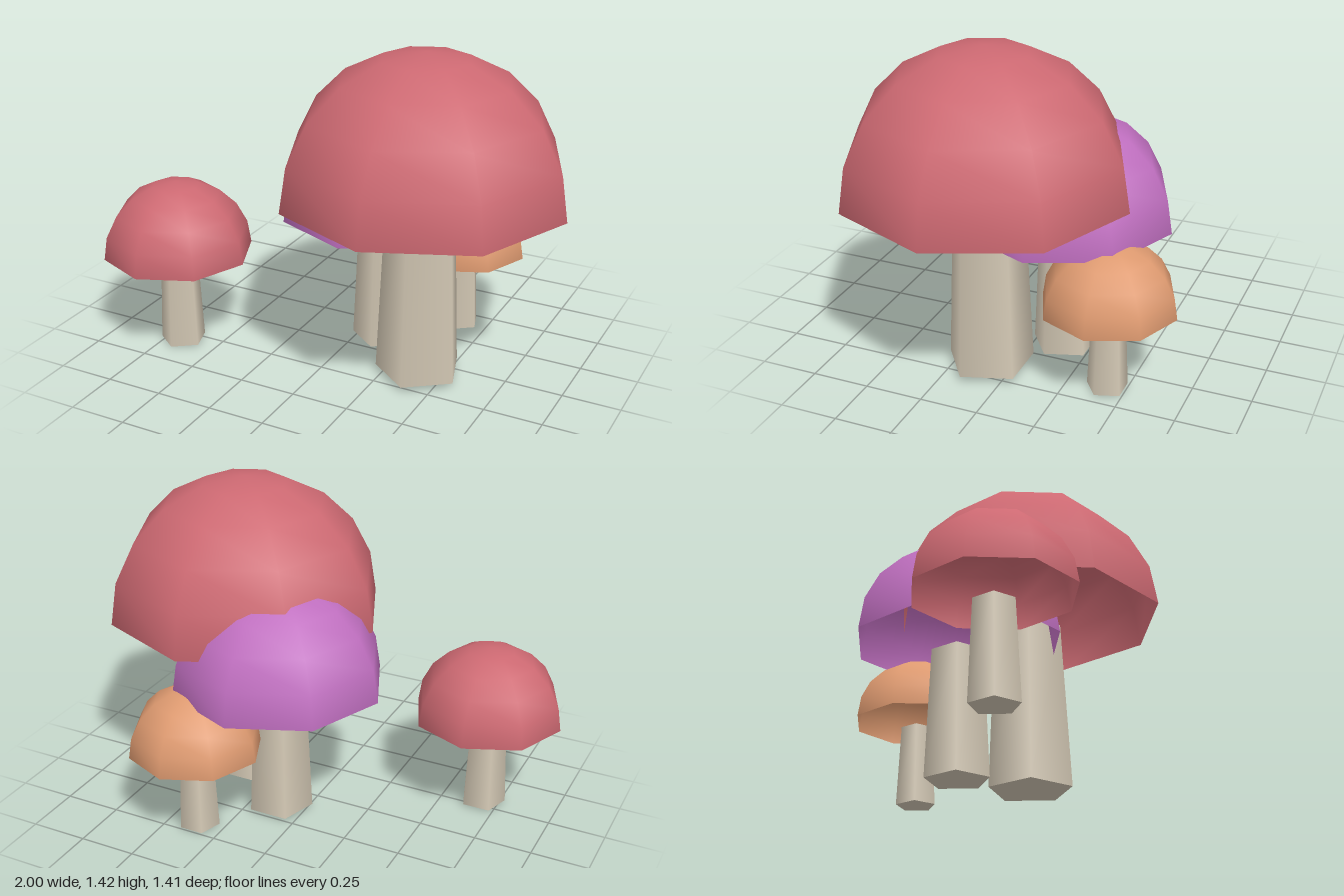
import * as THREE from 'three';

const paint = (name, color, side = THREE.FrontSide) => {
  const m = new THREE.MeshStandardMaterial({ color, side });
  m.name = name;
  return m;
};

export function createModel() {
  const group = new THREE.Group();
  group.name = 'mushroomCluster';

  const red = paint('red cap', 0xcd6972, THREE.DoubleSide);
  const purple = paint('purple cap', 0xc06fc0, THREE.DoubleSide);
  const orange = paint('orange cap', 0xde9a70, THREE.DoubleSide);
  const cream = paint('cream stem', 0xd4c9b5);

  // One mushroom: open eight-sided dome over a tapered five-sided stem
  function addMushroom(name, material, { x, z, capY, capR, stemY, stemTop, topR, bottomR }) {
    const mushroom = new THREE.Group();
    mushroom.name = name;
    mushroom.position.set(x, 0, z);

    const cap = new THREE.Mesh(
      new THREE.SphereGeometry(capR, 8, 5, 0, Math.PI * 2, 0, Math.PI / 2), material);
    cap.name = 'cap';
    cap.position.y = capY;

    const stem = new THREE.Mesh(
      new THREE.CylinderGeometry(topR, bottomR, stemTop - stemY, 5), cream);
    stem.name = 'stem';
    stem.position.y = (stemY + stemTop) / 2;

    mushroom.add(cap, stem);
    group.add(mushroom);
  }

  addMushroom('largeRedMushroom', red, {
    x: 0.395, z: 0.1, capY: 0.818, capR: 0.605,
    stemY: 0.025, stemTop: 0.78, topR: 0.154, bottomR: 0.188 });
  addMushroom('purpleMushroom', purple, {
    x: 0.12, z: -0.133, capY: 0.622, capR: 0.462,
    stemY: 0.013, stemTop: 0.592, topR: 0.118, bottomR: 0.144 });
  addMushroom('smallRedMushroom', red, {
    x: -0.675, z: 0.302, capY: 0.435, capR: 0.325,
    stemY: 0.004, stemTop: 0.414, topR: 0.083, bottomR: 0.101 });
  addMushroom('orangeMushroom', orange, {
    x: 0.368, z: -0.418, capY: 0.378, capR: 0.287,
    stemY: 0, stemTop: 0.358, topR: 0.072, bottomR: 0.089 });

  return group;
}
